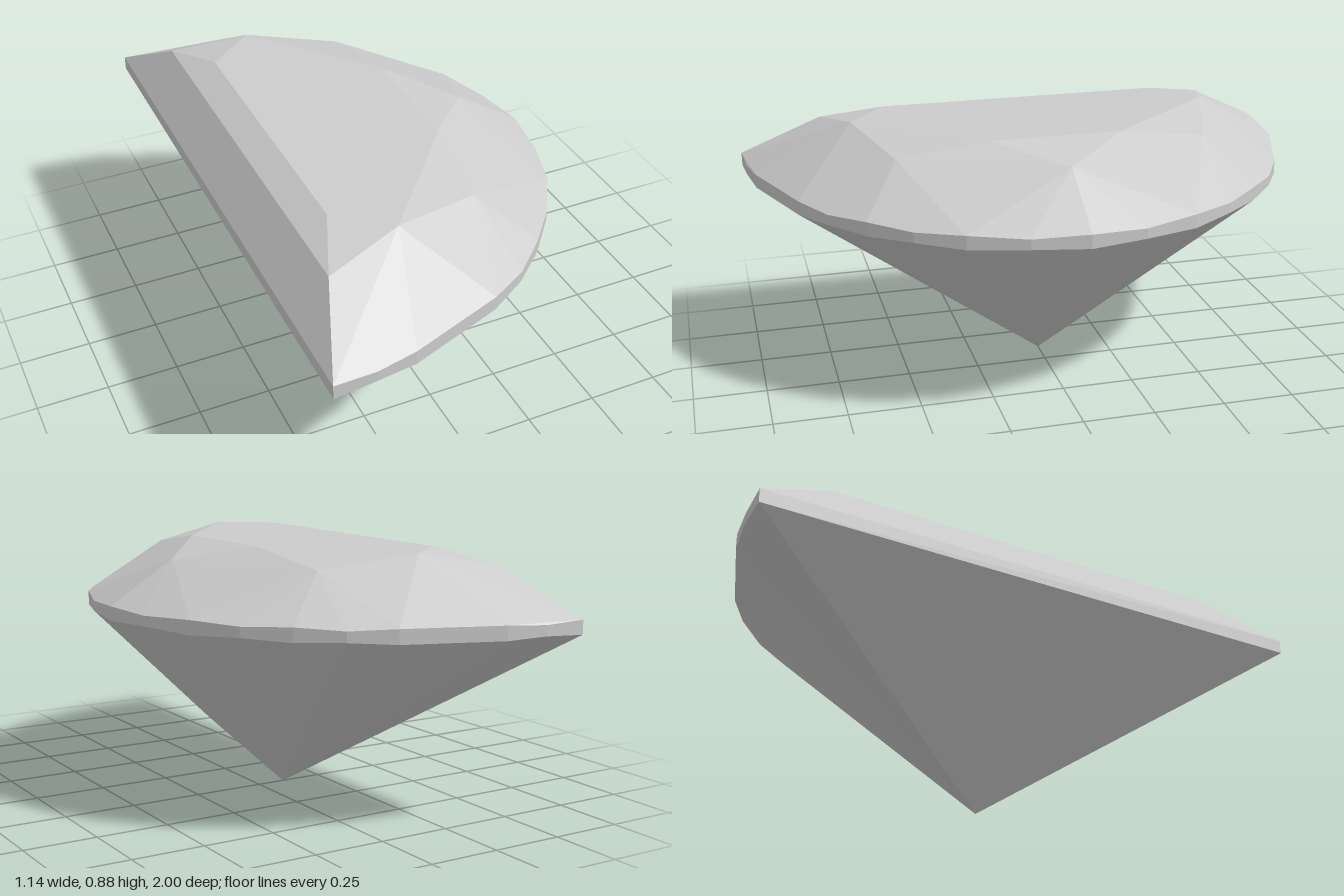
import * as THREE from 'three';
import { ConvexGeometry } from 'three/addons/geometries/ConvexGeometry.js';

// Half-moon cut gem, symmetric about z = 0. Points are [x, y, z] on the +z side.
const TABLE = [[-0.37, 0.885, 0.5], [-0.2, 0.885, 0.64], [0.14, 0.885, 0.23]];
const SHOULDER = [[-0.46, 0.838, 0.72], [0.11, 0.838, 0.535], [0.34, 0.838, 0]];
const KEEL = [[-0.1, 0, 0], [0.2, 0.27, 0]];
// Girdle outline as [x, z], from the straight back corner round to the nose
const OUTLINE = [
  [-0.57, 1], [-0.43, 0.99], [-0.295, 0.967], [0.025, 0.85], [0.16, 0.77],
  [0.28, 0.66], [0.39, 0.53], [0.48, 0.38], [0.545, 0.19], [0.57, 0],
];

export function createModel() {
  const gem = new THREE.Group();
  gem.name = 'gem';
  const stone = new THREE.MeshStandardMaterial({ color: 0xcccccc });
  stone.name = 'stone grey';

  // The girdle edges scallop slightly at the points between the main facets
  const girdle = OUTLINE.flatMap(([x, z], i) => {
    const between = [1, 4, 6, 8].includes(i);
    return [[x, between ? 0.685 : 0.692, z], [x, between ? 0.65 : 0.644, z]];
  });

  // Mirror the points across z = 0 and wrap them in flat facets
  const points = [];
  for (const [x, y, z] of [...TABLE, ...SHOULDER, ...KEEL, ...girdle]) {
    points.push(new THREE.Vector3(x, y, z));
    if (z > 0) points.push(new THREE.Vector3(x, y, -z));
  }
  const hull = new ConvexGeometry(points);
  const pos = hull.attributes.position;
  const nor = hull.attributes.normal;

  // Sort the facets by slope into the three parts of the stone
  const parts = { crown: [], girdle: [], pavilion: [] };
  for (let i = 0; i < pos.count; i += 3) {
    const slope = nor.getY(i);
    const part = slope > 0.1 ? 'crown' : slope < -0.1 ? 'pavilion' : 'girdle';
    for (let k = i; k < i + 3; k++) parts[part].push(pos.getX(k), pos.getY(k), pos.getZ(k));
  }
  for (const [name, corners] of Object.entries(parts)) {
    const geometry = new THREE.BufferGeometry();
    geometry.setAttribute('position', new THREE.Float32BufferAttribute(corners, 3));
    geometry.computeVertexNormals();
    const mesh = new THREE.Mesh(geometry, stone);
    mesh.name = name;
    gem.add(mesh);
  }
  return gem;
}
